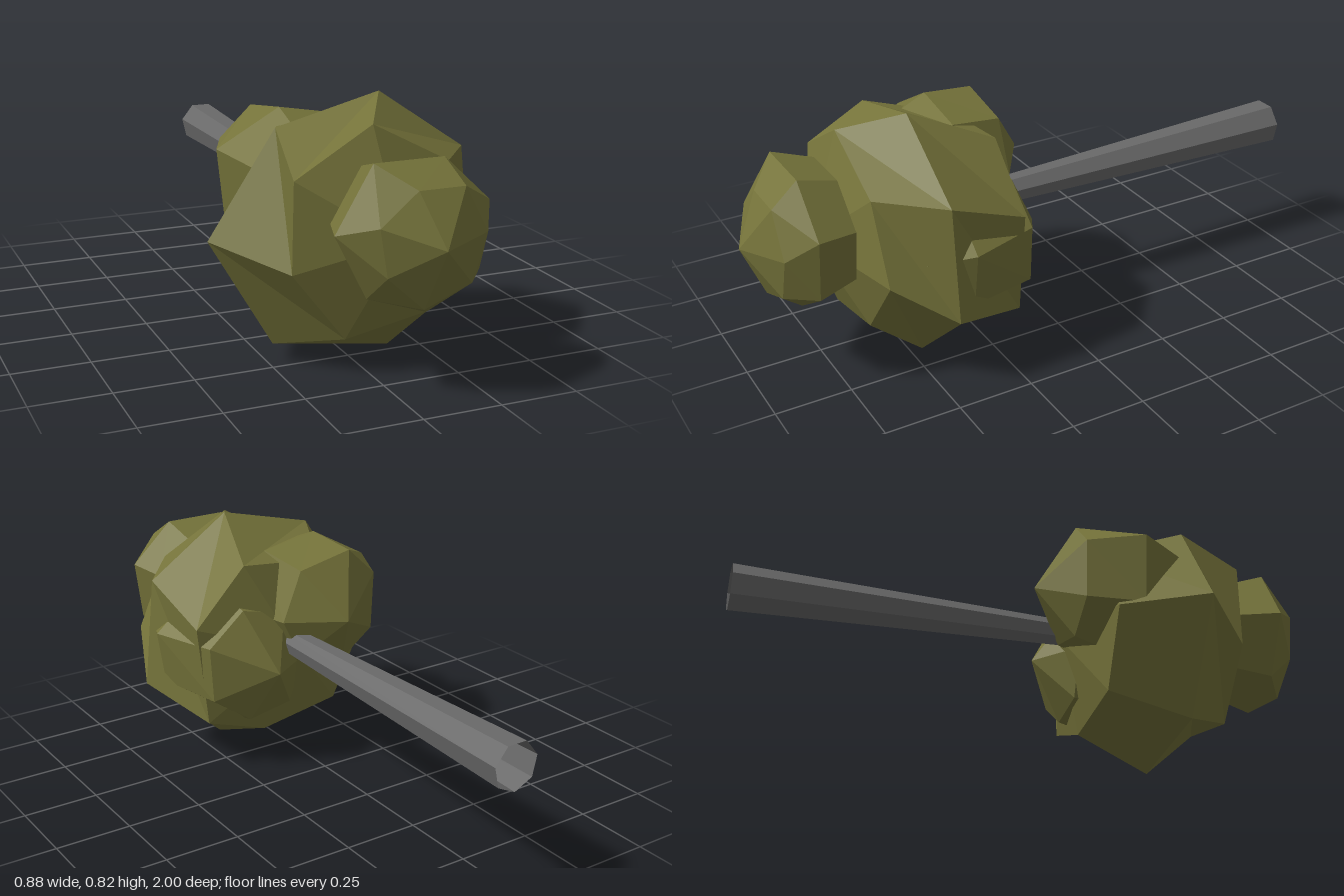
import * as THREE from 'three';

const leafMaterial = new THREE.MeshStandardMaterial({ color: 0x75733a, flatShading: true });
const barkMaterial = new THREE.MeshStandardMaterial({ color: 0x696969, flatShading: true, side: THREE.DoubleSide });

// Faceted clump along z: front pole, rings of [x, y] corners (clockwise from the front), back pole
function clump(name, frontPole, rings, backPole) {
  const points = [frontPole];
  for (const { z, ring } of rings) for (const [x, y] of ring) points.push([x, y, z]);
  points.push(backPole);
  const n = rings[0].ring.length;
  const last = points.length - 1;
  const at = (r, j) => 1 + r * n + (j % n);
  const index = [];
  for (let j = 0; j < n; j++) {
    index.push(0, at(0, j + 1), at(0, j));
    for (let r = 0; r < rings.length - 1; r++) {
      const a = at(r, j), b = at(r, j + 1), c = at(r + 1, j + 1), d = at(r + 1, j);
      index.push(a, b, c, a, c, d);
    }
    index.push(last, at(rings.length - 1, j), at(rings.length - 1, j + 1));
  }
  const geometry = new THREE.BufferGeometry();
  geometry.setAttribute('position', new THREE.Float32BufferAttribute(points.flat(), 3));
  geometry.setIndex(index);
  geometry.computeVertexNormals();
  const mesh = new THREE.Mesh(geometry, leafMaterial);
  mesh.name = name;
  return mesh;
}

// Copy of a ring, scaled about a centre
const scaled = (ring, cx, cy, s) => ring.map(([x, y]) => [cx + (x - cx) * s, cy + (y - cy) * s]);

export function createModel() {
  const tree = new THREE.Group();
  tree.name = 'fallenTree';

  // Large central crown
  tree.add(clump('mainFoliage', [0.04, 0.44, 0.77], [
    { z: 0.65, ring: [[0, 0.765], [0.25, 0.635], [0.36, 0.39], [0.19, 0.17], [-0.08, 0.12], [-0.25, 0.34], [-0.245, 0.62]] },
    { z: 0.46, ring: [[0.11, 0.82], [0.4, 0.625], [0.44, 0.255], [0.155, 0], [-0.235, 0.06], [-0.44, 0.41], [-0.225, 0.735]] },
    { z: 0.2, ring: [[0.19, 0.71], [0.375, 0.52], [0.34, 0.175], [0.12, 0.1], [-0.17, 0.15], [-0.29, 0.4], [-0.11, 0.68]] },
  ], [0.04, 0.41, 0.11]));

  // Smaller crown at the tip
  const tip = [[0.135, 0.7], [0.285, 0.56], [0.26, 0.355], [0.09, 0.245], [-0.1, 0.31], [-0.2, 0.505], [-0.085, 0.7]];
  tree.add(clump('tipFoliage', [0.06, 0.48, 1], [
    { z: 0.92, ring: [[0.155, 0.635], [0.23, 0.495], [0.185, 0.35], [0.035, 0.29], [-0.08, 0.395], [-0.105, 0.54], [0.01, 0.635]] },
    { z: 0.83, ring: tip },
    { z: 0.7, ring: scaled(tip, 0.07, 0.47, 0.83) },
  ], [0.06, 0.47, 0.64]));

  // Side clump near the trunk, upper right
  const side = [[-0.345, 0.64], [-0.14, 0.755], [0.06, 0.72], [0.14, 0.52], [0.05, 0.33], [-0.15, 0.28], [-0.32, 0.41]];
  tree.add(clump('rightFoliage', [-0.1, 0.52, 0.52], [
    { z: 0.42, ring: scaled(side, -0.1, 0.52, 0.75) },
    { z: 0.28, ring: side },
    { z: 0.1, ring: [[-0.27, 0.63], [-0.165, 0.73], [0.03, 0.69], [0.1, 0.52], [0.03, 0.38], [-0.14, 0.34], [-0.26, 0.43]] },
  ], [-0.08, 0.525, -0.02]));

  // Half-buried clump on the left, bulging out behind
  const buried = [[0.425, 0.46], [0.4, 0.28], [0.24, 0.13], [0.03, 0.17], [-0.06, 0.36], [0.04, 0.57], [0.24, 0.62]];
  tree.add(clump('leftFoliage', [0.19, 0.38, 0.62], [
    { z: 0.53, ring: scaled(buried, 0.19, 0.38, 0.75) },
    { z: 0.39, ring: buried },
    { z: 0.16, ring: [[0.35, 0.46], [0.34, 0.27], [0.2, 0.17], [0.04, 0.2], [-0.02, 0.36], [0.06, 0.53], [0.22, 0.57]] },
  ], [0.15, 0.365, 0.045]));

  // Tapered open trunk, wide at the back end
  const trunk = new THREE.Mesh(new THREE.CylinderGeometry(0.04, 0.079, 1.3, 7, 1, true), barkMaterial);
  trunk.name = 'trunk';
  trunk.rotation.x = Math.PI / 2;
  trunk.position.set(0.038, 0.43, -0.35);
  tree.add(trunk);

  return tree;
}
